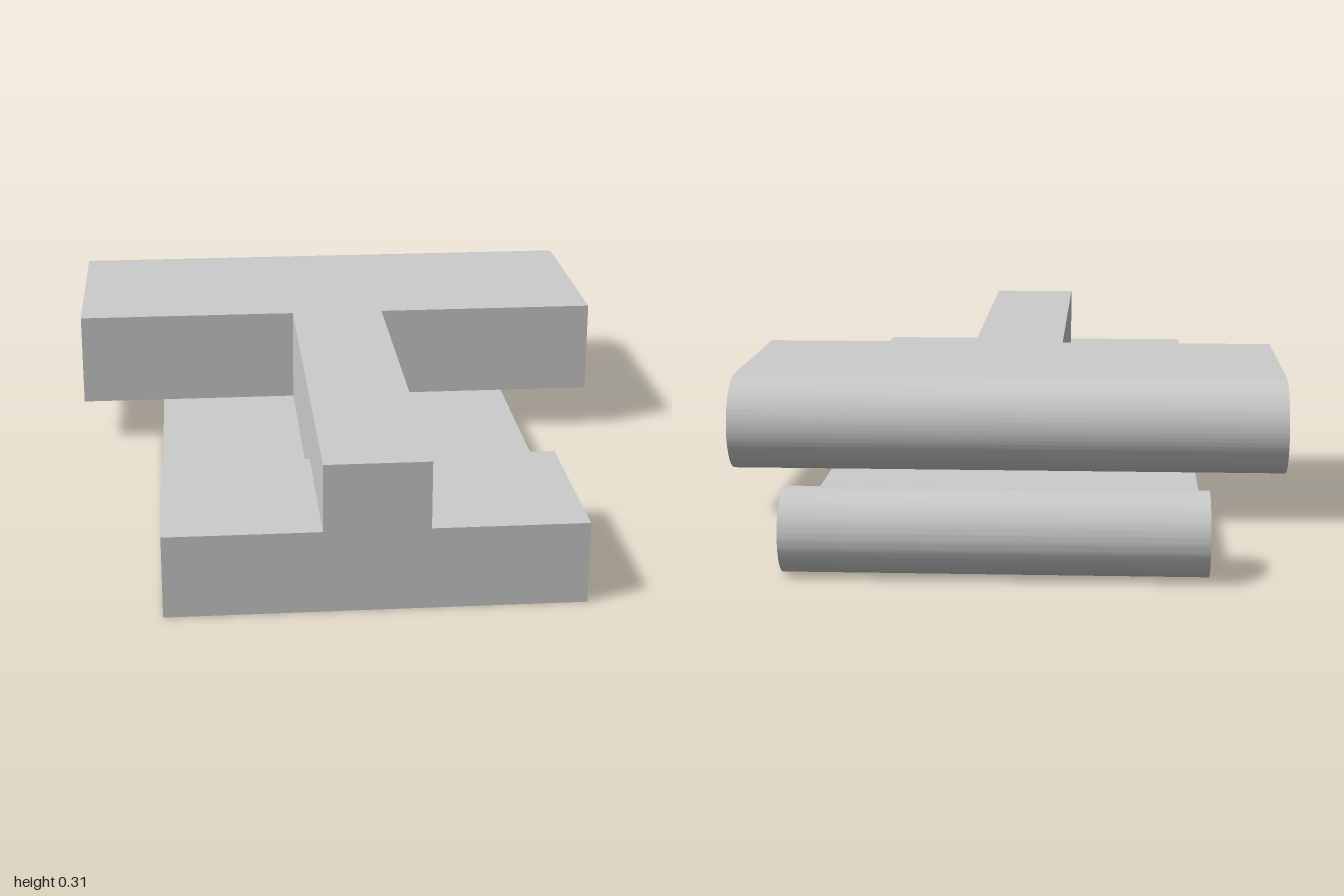
import * as THREE from 'three';
import { toCreasedNormals } from 'three/addons/utils/BufferGeometryUtils.js';

const material = new THREE.MeshStandardMaterial({ color: 0xcccccc });

// Extrudes a side profile (u = -z, v = y) across x, centred on x = 0.
function extrudeAcross(name, shape, width) {
  const geometry = new THREE.ExtrudeGeometry(shape, { depth: width, bevelEnabled: false, curveSegments: 32 });
  geometry.translate(0, 0, -width / 2);
  geometry.rotateY(Math.PI / 2);
  const mesh = new THREE.Mesh(toCreasedNormals(geometry, Math.PI / 6), material);
  mesh.name = name;
  return mesh;
}

export function createModel() {
  const group = new THREE.Group();
  group.name = 'slidingClip';

  const floor = 0.06, step = 0.173, stepEnd = -0.62;
  const low = 0.103, top = 0.315, shoulder = -0.04;

  // Base: raised front block, thin floor and rolled back lip
  const lip = 0.086;
  const base = new THREE.Shape();
  base.moveTo(-1, 0);
  base.lineTo(1 - lip, 0);
  base.absarc(1 - lip, lip, lip, -Math.PI / 2, Math.PI, false);
  base.lineTo(1 - 2 * lip, floor);
  base.lineTo(stepEnd, floor);
  base.lineTo(stepEnd, step);
  base.lineTo(-1, step);
  base.closePath();
  group.add(extrudeAcross('base', base, 0.85));

  // Stem: rests on the block and reaches back to the plate
  const stem = new THREE.Shape();
  stem.moveTo(-1, step);
  stem.lineTo(stepEnd, step);
  stem.lineTo(stepEnd, low);
  stem.lineTo(shoulder, low);
  stem.lineTo(shoulder, top);
  stem.lineTo(-1, top);
  stem.closePath();
  group.add(extrudeAcross('stem', stem, 0.215));

  // Plate: wide crosspiece with a fully rounded back edge
  const radius = (top - low) / 2;
  const plate = new THREE.Shape();
  plate.moveTo(shoulder, low);
  plate.lineTo(0.542 - radius, low);
  plate.absarc(0.542 - radius, low + radius, radius, -Math.PI / 2, Math.PI / 2, false);
  plate.lineTo(shoulder, top);
  plate.closePath();
  group.add(extrudeAcross('plate', plate, 1.23));

  return group;
}
